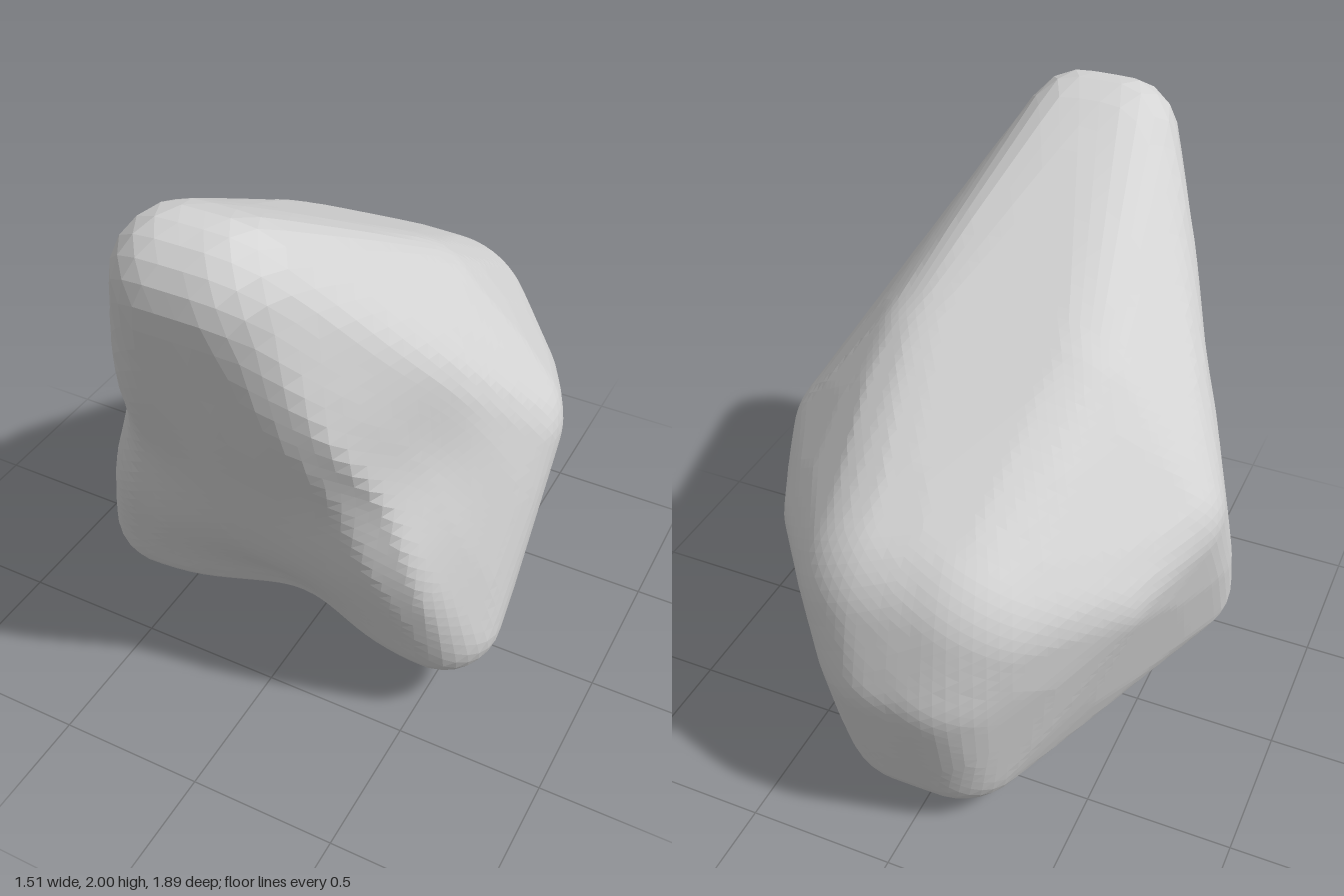
import * as THREE from 'three';
import { mergeVertices } from 'three/addons/utils/BufferGeometryUtils.js';

const v = (x, y, z) => new THREE.Vector3(x, y, z);
const centre = v(0, 0.8, -0.05);

// Rounded knobs of the boulder: x, y, z, radius. Those off the middle are mirrored.
const knobs = [
  [0.07, 1.805, 0.75, 0.195],  // peak
  [0.2, 1.26, 0, 0.3],         // upper slope
  [0.495, 0.95, -0.07, 0.26],  // shoulders
  [0.4, 0.86, -0.36, 0.235],   // flanks
  [0.1, 0.87, -0.55, 0.35],    // upper back
  [0.06, 0.68, -0.645, 0.3],   // back
  [0.08, 0.28, -0.58, 0.25],   // lower back
  [0.05, 0.25, -0.42, 0.25],   // base
  [0, 0.27, 0.08, 0.18],       // front of base
  [0.53, 0.375, 0.26, 0.2],    // front feet
  [0, 0.75, 0.396, 0.2],       // chest
];

// Hollows pressed into the front: x, y, z, depth, spread.
const hollows = [
  [0, 0.3, 0.4, 0.14, 0.28],      // between the feet
  [0.42, 1.1, 0.5, 0.1, 0.25],    // beside the chest
];

const mirrored = (list) => list.flatMap(([x, ...rest]) =>
  (x === 0 ? [[x, ...rest]] : [[x, ...rest], [-x, ...rest]]));

// Tangent planes of the skin stretched over all knobs, in evenly spread directions.
function skinPlanes(count) {
  const balls = mirrored(knobs).map(([x, y, z, r]) => ({ at: v(x, y, z).sub(centre), r }));
  return Array.from({ length: count }, (_, i) => {
    const y = 1 - (2 * i + 1) / count, turn = i * Math.PI * (3 - Math.sqrt(5));
    const ring = Math.sqrt(1 - y * y);
    const normal = v(Math.cos(turn) * ring, y, Math.sin(turn) * ring);
    return { normal, offset: Math.max(...balls.map((b) => b.at.dot(normal) + b.r)) };
  });
}

function boulderGeometry() {
  const ball = new THREE.IcosahedronGeometry(1, 24);
  ball.deleteAttribute('uv');
  ball.deleteAttribute('normal');
  const geometry = mergeVertices(ball);
  const pos = geometry.attributes.position;
  const planes = skinPlanes(4000);
  const dents = mirrored(hollows);
  const dir = v(0, 0, 0), p = v(0, 0, 0);
  for (let i = 0; i < pos.count; i++) {
    // Push each point outwards until it meets the skin.
    dir.fromBufferAttribute(pos, i).normalize();
    let reach = Infinity;
    for (const { normal, offset } of planes) {
      const facing = normal.dot(dir);
      if (facing > 0.01) reach = Math.min(reach, offset / facing);
    }
    p.copy(centre).addScaledVector(dir, reach);
    // Press in the hollows from the front.
    let sink = 0;
    for (const [x, y, z, depth, spread] of dents) {
      sink += depth * Math.exp(-p.distanceToSquared(v(x, y, z)) / (spread * spread));
    }
    pos.setXYZ(i, p.x, p.y, p.z - sink);
  }
  geometry.computeVertexNormals();
  return geometry;
}

export function createModel() {
  const group = new THREE.Group();
  group.name = 'rock';
  const stone = new THREE.MeshStandardMaterial({ color: 0xd4d4d4, flatShading: true });
  stone.name = 'stone grey';
  const boulder = new THREE.Mesh(boulderGeometry(), stone);
  boulder.name = 'boulder';
  group.add(boulder);
  return group;
}
